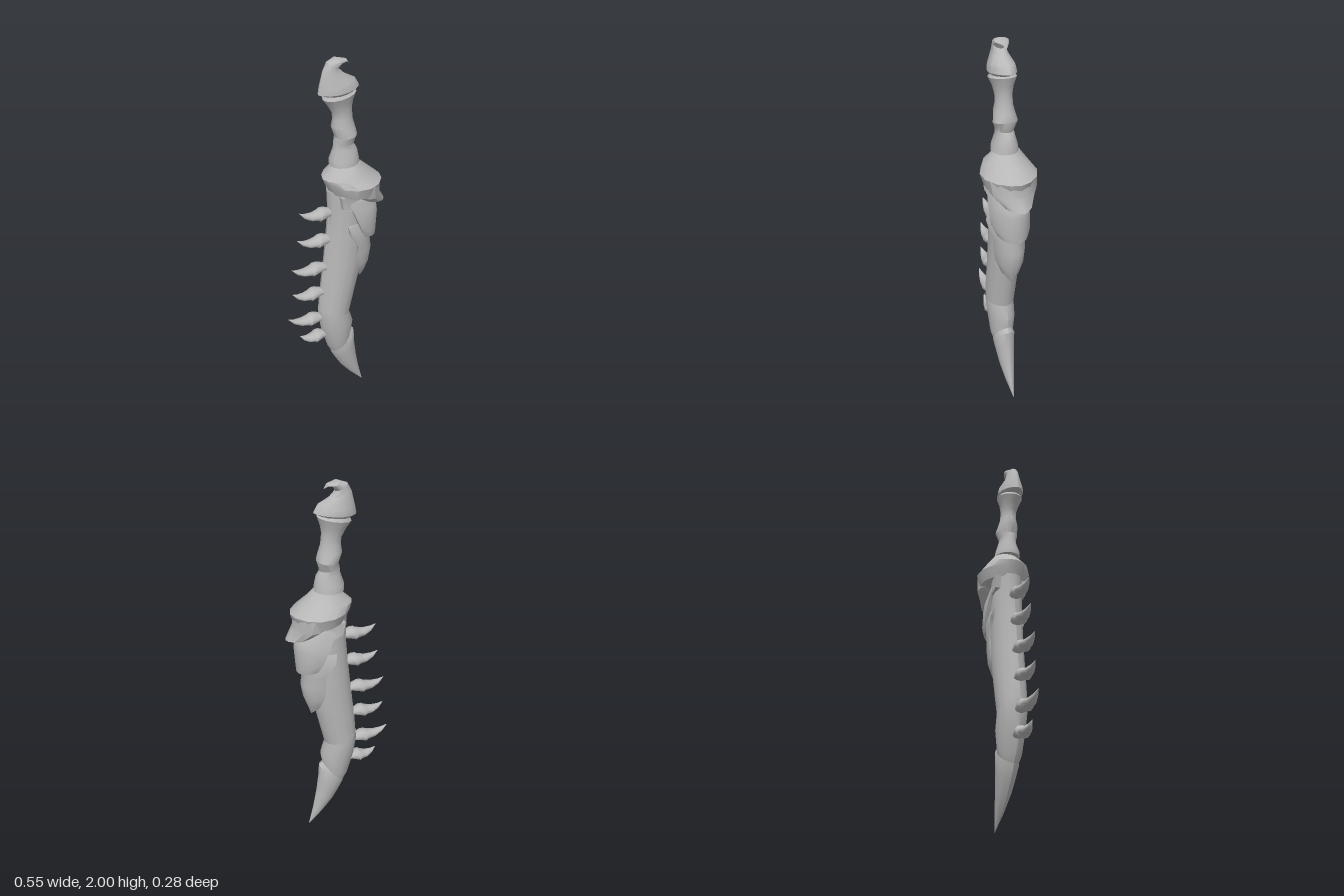
import * as THREE from 'three';
import { toCreasedNormals } from 'three/addons/utils/BufferGeometryUtils.js';

// Loft through slanted cross-sections. Each section: [xA, yA, xB, yB, halfDepth].
// half = false: full lens from edge A to edge B; half = true: D shape, deepest at A.
function loft(sections, { power = 1.1, half = false, sides = 14, crease = 0.6 } = {}) {
  const pos = [], idx = [], n = sides;
  for (const [xa, ya, xb, yb, d] of sections) {
    for (let i = 0; i < n; i++) {
      const a = half ? -Math.PI / 2 + (Math.PI * i) / (n - 1) : (2 * Math.PI * i) / n;
      const u = half ? Math.cos(a) : (1 + Math.cos(a)) / 2;
      const s = Math.sin(a);
      pos.push(xa + (xb - xa) * u, ya + (yb - ya) * u, d * Math.sign(s) * Math.abs(s) ** power);
    }
  }
  for (let r = 0; r < sections.length - 1; r++) {
    for (let i = 0; i < n; i++) {
      const a = r * n + i, b = r * n + ((i + 1) % n);
      idx.push(a, b, a + n, b, b + n, a + n);
    }
  }
  // end caps
  const last = (sections.length - 1) * n;
  for (let i = 1; i < n - 1; i++) {
    idx.push(0, i + 1, i, last, last + i, last + i + 1);
  }
  // turn the faces outward if the enclosed volume is negative
  const v = (k) => new THREE.Vector3().fromArray(pos, k * 3);
  let volume = 0;
  for (let t = 0; t < idx.length; t += 3) {
    volume += v(idx[t]).dot(v(idx[t + 1]).cross(v(idx[t + 2])));
  }
  if (volume < 0) idx.reverse();
  const g = new THREE.BufferGeometry();
  g.setAttribute('position', new THREE.Float32BufferAttribute(pos, 3));
  g.setIndex(idx);
  return toCreasedNormals(g, crease);
}

export function createModel() {
  const group = new THREE.Group();
  const bone = new THREE.MeshStandardMaterial({ color: 0xb8b8b8 });
  bone.name = 'grey bone';
  const add = (name, geometry) => {
    const mesh = new THREE.Mesh(geometry, bone);
    mesh.name = name;
    group.add(mesh);
    return mesh;
  };

  // Blade in three overlapping segments
  add('upperBlade', loft([
    [-0.045, 1.32, 0.14, 1.32, 0.08],
    [-0.04, 1.2, 0.15, 1.2, 0.08],
    [-0.05, 1.07, 0.16, 1.05, 0.08],
    [-0.065, 0.92, 0.155, 0.88, 0.08],
    [-0.09, 0.7, 0.122, 0.755, 0.078],
    [-0.096, 0.63, 0.098, 0.65, 0.077],
    [-0.098, 0.585, 0.077, 0.555, 0.075],
  ]));
  add('middleBlade', loft([
    [-0.1, 0.6, 0.076, 0.58, 0.073],
    [-0.1, 0.56, 0.078, 0.55, 0.075],
    [-0.087, 0.466, 0.1, 0.48, 0.071],
    [-0.05, 0.335, 0.087, 0.4, 0.062],
    [-0.03, 0.295, 0.087, 0.39, 0.055],
  ]));
  add('bladeTip', loft([
    [-0.04, 0.33, 0.09, 0.42, 0.05],
    [-0.025, 0.275, 0.109, 0.4, 0.058],
    [0.0, 0.225, 0.114, 0.32, 0.05],
    [0.034, 0.164, 0.127, 0.22, 0.04],
    [0.093, 0.085, 0.146, 0.115, 0.023],
    [0.17, 0.0, 0.172, 0.005, 0.001],
  ]));

  // Plates wrapped around the right edge of the blade
  add('lowerSheath', loft([
    [0.03, 1.13, 0.19, 1.13, 0.085],
    [0.04, 1.085, 0.2, 1.06, 0.1],
    [0.09, 0.995, 0.19, 1.01, 0.085],
    [0.085, 0.94, 0.2, 0.94, 0.08],
    [0.093, 0.873, 0.188, 0.862, 0.073],
    [0.114, 0.8, 0.165, 0.8, 0.045],
    [0.145, 0.75, 0.147, 0.75, 0.002],
  ], { half: true, power: 1 }));
  add('upperSheath', loft([
    [0.03, 1.27, 0.19, 1.25, 0.085],
    [0.06, 1.2, 0.225, 1.2, 0.098],
    [0.08, 1.15, 0.23, 1.16, 0.1],
    [0.104, 1.09, 0.222, 1.05, 0.1],
    [0.13, 1.04, 0.22, 1.02, 0.08],
  ], { half: true, power: 1 }));
  add('sheathCollar', loft([
    [-0.01, 1.31, 0.15, 1.3, 0.095],
    [0.0, 1.24, 0.15, 1.24, 0.09],
    [0.09, 1.2, 0.15, 1.2, 0.09],
  ], { half: true, power: 1 }));

  // Guard with a downswept point on its right side
  add('guard', loft([
    [0.0, 1.458, 0.125, 1.458, 0.07],
    [-0.07, 1.39, 0.167, 1.42, 0.108],
    [-0.06, 1.365, 0.245, 1.35, 0.143],
    [-0.035, 1.31, 0.225, 1.285, 0.125],
    [0.02, 1.29, 0.2, 1.26, 0.085],
  ], { power: 1.2 }));
  add('guardPoint', loft([
    [0.02, 1.36, 0.235, 1.35, 0.13],
    [0.055, 1.29, 0.235, 1.275, 0.122],
    [0.1, 1.25, 0.272, 1.21, 0.075],
    [0.13, 1.25, 0.24, 1.225, 0.05],
  ], { power: 1.3 }));

  // Grip with twisted ridges
  add('grip', loft([
    [-0.03, 1.455, 0.124, 1.46, 0.068],
    [-0.03, 1.485, 0.12, 1.49, 0.064],
    [-0.01, 1.545, 0.112, 1.53, 0.048],
    [-0.008, 1.575, 0.093, 1.56, 0.045],
    [0.0, 1.6, 0.108, 1.615, 0.062],
    [-0.02, 1.655, 0.1, 1.65, 0.052],
    [-0.013, 1.7, 0.088, 1.69, 0.042],
    [-0.018, 1.73, 0.082, 1.75, 0.042],
    [-0.04, 1.77, 0.088, 1.79, 0.05],
    [-0.065, 1.805, 0.103, 1.835, 0.066],
    [-0.045, 1.835, 0.08, 1.84, 0.055],
  ], { power: 1 }));

  // Pommel with a curled hook on top
  add('pommel', loft([
    [0.0, 1.803, 0.03, 1.81, 0.04],
    [-0.09, 1.835, 0.12, 1.855, 0.065],
    [-0.085, 1.865, 0.1, 1.89, 0.062],
    [-0.066, 1.945, 0.045, 1.92, 0.036],
    [-0.045, 1.985, 0.014, 1.95, 0.034],
    [0.0, 2.0, 0.026, 1.972, 0.038],
    [0.053, 1.988, 0.05, 1.974, 0.018],
    [0.068, 1.965, 0.066, 1.965, 0.002],
  ], { power: 1.2 }));

  // Curved thorns along the left edge: [tip x, tip y, base x, base y]
  const thorns = [
    [-0.2, 1.228, -0.015, 1.19],
    [-0.214, 1.07, -0.022, 1.035],
    [-0.25, 0.902, -0.052, 0.87],
    [-0.25, 0.747, -0.07, 0.715],
    [-0.278, 0.592, -0.07, 0.545],
    [-0.214, 0.457, -0.06, 0.425],
  ];
  // share of length from the base, sag, half height, half depth
  const profile = [
    [-0.2, 0, 0.02, 0.025], [0.1, 0, 0.02, 0.028], [0.28, -0.004, 0.031, 0.038],
    [0.4, -0.012, 0.035, 0.04], [0.46, -0.014, 0.026, 0.036], [0.65, -0.022, 0.02, 0.028],
    [0.85, -0.017, 0.012, 0.015], [1, 0, 0.001, 0.001],
  ];
  thorns.forEach(([tx, ty, bx, by], i) => {
    add('thorn' + (i + 1), loft(profile.map(([t, sag, h, d]) => {
      const x = bx + (tx - bx) * t, y = by + (ty - by) * t + sag;
      return [x - h * 0.15, y - h, x + h * 0.15, y + h, d];
    }), { power: 1, sides: 10, crease: 0.8 }));
  });

  return group;
}
